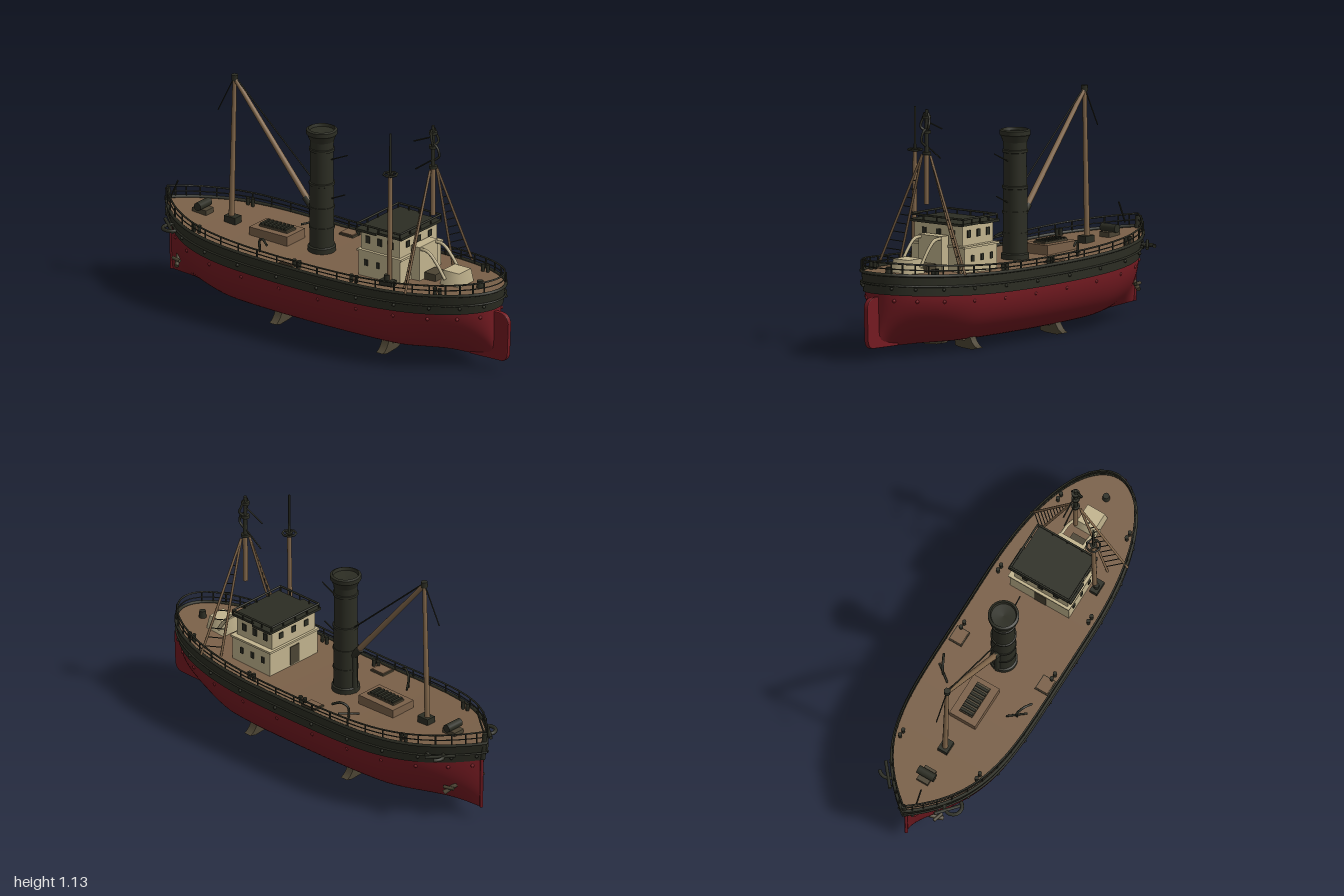
import * as THREE from 'three';

const mat = (name, color) => new THREE.MeshStandardMaterial({ name, color, side: THREE.DoubleSide });
const V = (x, y, z) => new THREE.Vector3(x, y, z);

export function createModel() {
  const ship = new THREE.Group();
  ship.name = 'steamship';
  const red = mat('hullRed', 0x741a21), dark = mat('ironBlack', 0x2c2d23), wood = mat('deckBrown', 0x7a6048);
  const cream = mat('houseCream', 0xc2b48e), olive = mat('rustOlive', 0x4c4433), spar = mat('sparBrown', 0x84694c);

  // ---- helpers ----
  const add = (name, geo, m, x = 0, y = 0, z = 0) => {
    const o = new THREE.Mesh(geo, m);
    o.name = name;
    o.position.set(x, y, z);
    ship.add(o);
    return o;
  };
  const box = (name, m, x0, x1, y0, y1, z0, z1) =>
    add(name, new THREE.BoxGeometry(x1 - x0, y1 - y0, z1 - z0), m, (x0 + x1) / 2, (y0 + y1) / 2, (z0 + z1) / 2);
  const rod = (name, m, a, b, r, r2 = r, sides = 8) => {
    const d = b.clone().sub(a), mid = a.clone().add(b).multiplyScalar(0.5);
    const o = add(name, new THREE.CylinderGeometry(r2, r, d.length(), sides), m, mid.x, mid.y, mid.z);
    o.quaternion.setFromUnitVectors(V(0, 1, 0), d.normalize());
    return o;
  };
  const tube = (name, m, pts, r, closed = false, n = 24) =>
    add(name, new THREE.TubeGeometry(new THREE.CatmullRomCurve3(pts, closed), n, r, 6, closed), m);
  const loft = (name, m, nu, nv, f) => {
    const pos = [], idx = [];
    for (let i = 0; i <= nu; i++) for (let j = 0; j <= nv; j++) {
      pos.push(...f(i / nu, j / nv));
      if (i < nu && j < nv) {
        const a = i * (nv + 1) + j, b = a + nv + 1;
        idx.push(a, a + 1, b, b, a + 1, b + 1);
      }
    }
    const g = new THREE.BufferGeometry();
    g.setAttribute('position', new THREE.Float32BufferAttribute(pos, 3));
    g.setIndex(idx);
    g.computeVertexNormals();
    return add(name, g, m);
  };

  // ---- hull lines ----
  const X0 = -0.995, X1 = 0.945;
  const half = x => {
    const s = THREE.MathUtils.clamp((x - X0) / 0.9, 0, 1), r = THREE.MathUtils.clamp((X1 - x) / 0.75, 0, 1);
    return 0.287 * (1 - (1 - s) ** 4) * Math.sqrt(Math.max(0, 1 - (1 - r) ** 2.4));
  };
  const sheer = x => 0.367 + 0.045 * x * x;
  const station = u => X0 + (X1 - X0) * (1 - Math.cos(Math.PI * u)) / 2;
  const squeeze = (x, a, b) => a + (b - a) * (x - X0) / (X1 - X0);

  loft('lowerHull', red, 64, 40, (u, v) => {
    const x = station(u), s = v * 2 - 1, t = s * s;
    const keel = 0.03 + 0.032 * x * x, top = sheer(x) - 0.09;
    const e = 0.42 + 0.5 * THREE.MathUtils.smoothstep(-x, 0.5, 1) + 0.9 * THREE.MathUtils.smoothstep(x, 0.45, 0.95);
    const w = half(x) * 0.967 * (1 - (1 - t) ** 2) ** e;
    return [squeeze(x, -0.965, 0.92), keel + (top - keel) * t, Math.sign(s) * w];
  });
  for (const side of [-1, 1]) {
    loft('upperHullBand', dark, 64, 4, (u, v) => {
      const x = station(u);
      return [squeeze(x, -0.972 - 0.023 * v, 0.93 + 0.015 * v), sheer(x) - 0.097 + 0.097 * v, side * half(x) * (0.985 + 0.015 * v)];
    });
    loft('bandUnderside', dark, 64, 1, (u, v) => {
      const x = station(u);
      return [squeeze(x, -0.96 - 0.012 * v, 0.915 + 0.015 * v), sheer(x) - 0.097, side * half(x) * (0.95 + 0.035 * v)];
    });
  }
  loft('deck', wood, 64, 2, (u, v) => {
    const x = station(u);
    return [x, sheer(x) - 0.006, half(x) * (v * 2 - 1)];
  });

  // ---- gunwale and railing ----
  const edge = (h, k = 1) => {
    const pts = [];
    for (const side of [1, -1]) for (let i = 0; i < 40; i++) {
      const x = station(side > 0 ? i / 40 : 1 - i / 40);
      pts.push(V(x * (k < 1 ? 0.992 : 1), sheer(x) + h(x), side * half(x) * k));
    }
    return pts;
  };
  const railTop = x => 0.038 + 0.02 * x * x;
  tube('gunwale', dark, edge(() => 0), 0.008, true, 200);
  tube('rubbingStrake', dark, edge(() => -0.05), 0.005, true, 200);
  tube('topRail', dark, edge(railTop, 0.98), 0.0045, true, 200);
  tube('middleRail', dark, edge(x => railTop(x) * 0.5, 0.98), 0.003, true, 200);
  for (let i = 1; i < 24; i++) for (const side of [-1, 1]) {
    const x = station(0.04 + 0.92 * i / 24), y = sheer(x), z = side * half(x) * 0.98;
    rod('railPost', dark, V(x, y, z), V(x, y + railTop(x), z), 0.004, 0.004, 6);
    // studs on the band and bosses on the lower hull
    if (i % 2) {
      add('bandStud', new THREE.SphereGeometry(0.008, 8, 6), dark, x, y - 0.065, side * half(x));
      add('hullBoss', new THREE.SphereGeometry(0.009, 8, 6), red, squeeze(x, -0.965, 0.92), y - 0.125, side * half(x) * 0.945);
    }
  }

  // ---- rudder, stem and stand feet ----
  const rs = new THREE.Shape();
  rs.moveTo(0.78, 0.055);
  rs.lineTo(0.96, 0.06);
  rs.quadraticCurveTo(0.99, 0.065, 0.992, 0.1);
  rs.lineTo(0.998, 0.25);
  rs.quadraticCurveTo(0.99, 0.29, 0.95, 0.292);
  rs.lineTo(0.78, 0.285);
  add('rudder', new THREE.ExtrudeGeometry(rs, { depth: 0.016, bevelSize: 0.004, bevelThickness: 0.004, bevelSegments: 2 }), red, 0, 0, -0.008);
  rod('stemBar', red, V(-0.962, 0.062, 0), V(-0.966, 0.32, 0), 0.008);
  rod('stemHead', dark, V(-0.972, 0.32, 0), V(-0.985, 0.46, 0), 0.012);
  const fs = new THREE.Shape();
  fs.moveTo(0.035, 0.05);
  fs.lineTo(0.04, 0.012);
  fs.lineTo(0.07, 0.005);
  fs.lineTo(0.14, 0);
  fs.lineTo(0.175, 0.008);
  fs.quadraticCurveTo(0.14, 0.02, 0.125, 0.07);
  fs.lineTo(0.105, 0.06);
  fs.quadraticCurveTo(0.1, 0.02, 0.065, 0.05);
  for (const x of [-0.245, 0.375]) for (const side of [-1, 1]) {
    const f = add('standFoot', new THREE.ExtrudeGeometry(fs, { depth: 0.04, bevelEnabled: false }), olive, x + 0.02 * side, 0, 0);
    f.rotation.y = -side * Math.PI / 2;
  }

  // ---- anchors and bow fittings ----
  for (const side of [-1, 1]) {
    const ring = add('bowAnchorRing', new THREE.TorusGeometry(0.042, 0.009, 8, 18, 4.6), dark, -0.83, 0.35, side * 0.175);
    ring.rotation.set(Math.PI / 2, 0, side * 0.5);
    rod('anchorShank', dark, V(-0.91, 0.36, side * 0.12), V(-0.8, 0.345, side * 0.21), 0.008);
    rod('hullFinStem', olive, V(-0.87, 0.175, side * 0.07), V(-0.84, 0.14, side * 0.125), 0.011);
    rod('hullFinBar', olive, V(-0.88, 0.165, side * 0.1), V(-0.83, 0.165, side * 0.115), 0.008);
    for (const x of [-0.66, -0.05, 0.28, 0.72]) {
      for (const dx of [-0.014, 0.014])
        rod('bollard', dark, V(x + dx, sheer(x) - 0.01, side * half(x) * 0.86), V(x + dx, sheer(x) + 0.03, side * half(x) * 0.86), 0.008, 0.01);
    }
    box('sideHatch', olive, -0.14, -0.06, 0.355, 0.37, side > 0 ? 0.2 : -0.27, side > 0 ? 0.27 : -0.2);
    box('sideHatchLid', wood, -0.135, -0.065, 0.365, 0.374, side > 0 ? 0.205 : -0.265, side > 0 ? 0.265 : -0.205);
    // davit frame beside the hold
    const z = side * 0.2;
    tube('davit', dark, [V(-0.3, 0.36, z), V(-0.3, 0.42, z * 1.02), V(-0.27, 0.44, z * 1.1), V(-0.23, 0.425, z * 1.2)], 0.006);
    rod('davitArm', dark, V(-0.33, 0.38, side * 0.16), V(-0.27, 0.39, side * 0.24), 0.005);
  }
  rod('bowPole', dark, V(-0.94, 0.43, 0.04), V(-0.895, 0.53, 0.04), 0.004);
  const drum = add('bowWinch', new THREE.CylinderGeometry(0.02, 0.02, 0.09, 14), dark, -0.78, 0.425, 0);
  drum.rotation.x = Math.PI / 2;
  box('winchBase', olive, -0.82, -0.74, 0.38, 0.41, -0.03, 0.03);
  box('mastWinch', dark, -0.64, -0.575, 0.37, 0.41, -0.025, 0.025);

  // ---- cargo hatch ----
  box('hatchCoaming', wood, -0.46, -0.24, 0.36, 0.41, -0.07, 0.07);
  box('hatchCover', olive, -0.43, -0.265, 0.41, 0.419, -0.035, 0.035);
  for (let i = 0; i < 7; i++) box('hatchSlat', dark, -0.425 + i * 0.0225, -0.412 + i * 0.0225, 0.419, 0.426, -0.033, 0.033);

  // ---- funnel ----
  const prof = [[0.066, 0.36], [0.066, 0.385], [0.058, 0.39], [0.057, 0.69], [0.061, 0.692], [0.061, 0.704], [0.055, 0.706], [0.054, 0.86],
    [0.06, 0.862], [0.06, 0.874], [0.055, 0.876], [0.056, 0.91], [0.068, 0.94], [0.073, 0.945], [0.073, 0.965], [0.062, 0.97], [0.058, 0.955], [0, 0.95]];
  // repeated profile points keep the steps crisp
  add('funnel', new THREE.LatheGeometry(prof.flatMap(p => [p, p]).map(p => new THREE.Vector2(...p)), 32), dark, -0.09, 0, 0);
  for (const y of [0.48, 0.58]) add('funnelBand', new THREE.CylinderGeometry(0.0605, 0.0605, 0.012, 32), dark, -0.09, y, 0);
  rod('funnelWire', dark, V(-0.035, 0.825, 0), V(0.06, 0.868, 0), 0.003);
  rod('funnelWire', dark, V(-0.035, 0.63, 0), V(0.045, 0.667, 0), 0.003);

  // ---- fore mast and boom ----
  rod('foreMast', spar, V(-0.615, 0.38, 0), V(-0.596, 1.1, 0), 0.014, 0.01, 12);
  rod('boom', spar, V(-0.595, 1.1, 0), V(-0.16, 0.58, 0), 0.011, 0.015, 12);
  rod('boomHeel', dark, V(-0.185, 0.605, 0), V(-0.135, 0.55, 0), 0.018);
  rod('boomPost', dark, V(-0.145, 0.36, 0), V(-0.145, 0.57, 0), 0.014);
  rod('mastCap', dark, V(-0.596, 1.09, 0), V(-0.595, 1.118, 0), 0.016);
  rod('boomStay', dark, V(-0.595, 1.11, 0), V(-0.14, 0.70, 0), 0.0035);
  rod('foreStay', dark, V(-0.6, 1.1, 0), V(-0.692, 0.92, 0), 0.003);

  // ---- wheelhouse ----
  box('lowerHouse', cream, 0.24, 0.48, 0.36, 0.49, -0.165, 0.155);
  box('houseLedge', cream, 0.232, 0.488, 0.485, 0.495, -0.172, 0.16);
  box('upperHouse', cream, 0.245, 0.47, 0.49, 0.592, -0.145, 0.145);
  box('houseRoof', dark, 0.232, 0.35, 0.588, 0.6, -0.172, 0.172);
  box('houseRoof', dark, 0.35, 0.488, 0.588, 0.6, -0.155, 0.155);
  for (const z of [-0.16, 0.16]) rod('roofRail', dark, V(0.235, 0.622, z), V(0.482, 0.622, z), 0.005);
  for (const x of [0.235, 0.482]) rod('roofRail', dark, V(x, 0.622, -0.16), V(x, 0.622, 0.16), 0.005);
  for (let i = 0; i < 5; i++) {
    const x = 0.235 + i * 0.0617, z = -0.16 + i * 0.08;
    for (const s of [-0.16, 0.16]) rod('roofRailPost', dark, V(x, 0.595, s), V(x, 0.622, s), 0.004);
    for (const s of [0.235, 0.482]) rod('roofRailPost', dark, V(s, 0.595, z), V(s, 0.622, z), 0.004);
  }
  // windows and doors
  for (let i = 0; i < 3; i++) {
    const x = 0.275 + i * 0.068, z = -0.1 + i * 0.085;
    for (const s of [-1, 1]) {
      box('sideWindow', dark, x, x + 0.024, 0.53, 0.565, s * 0.147 - 0.003, s * 0.147 + 0.003);
      const zl = s > 0 ? 0.157 : -0.167;
      box('lowerWindow', dark, x, x + 0.018, 0.42, 0.45, zl - 0.003, zl + 0.003);
    }
    for (const wx of [0.243, 0.472]) box('endWindow', dark, wx - 0.003, wx + 0.003, 0.535, 0.565, z, z + 0.026);
  }
  box('houseDoor', olive, 0.236, 0.241, 0.37, 0.465, -0.03, 0.03);
  rod('sideVent', dark, V(0.43, 0.36, 0.19), V(0.43, 0.42, 0.19), 0.014);
  box('sideLocker', dark, 0.4, 0.47, 0.36, 0.395, 0.17, 0.21);

  // ---- after deck ----
  box('aftCompanion', cream, 0.48, 0.53, 0.36, 0.54, -0.07, 0.07);
  box('mastBase', olive, 0.535, 0.6, 0.37, 0.41, -0.04, 0.04);
  const sky = add('aftSkylight', new THREE.CylinderGeometry(0.066, 0.08, 0.07, 4), cream, 0.695, 0.415, 0);
  sky.geometry.rotateY(Math.PI / 4);
  for (const side of [-1, 1])
    tube('curvedHandrail', cream, [V(0.5, 0.53, side * 0.06), V(0.57, 0.525, side * 0.06), V(0.62, 0.48, side * 0.06), V(0.67, 0.41, side * 0.06)], 0.008);
  rod('sternCapstan', dark, V(0.83, 0.38, 0), V(0.83, 0.425, 0), 0.02, 0.015, 12);

  // ---- side mast with lookout ----
  rod('sideMast', spar, V(0.435, 0.36, 0.178), V(0.435, 0.915, 0.17), 0.013, 0.01, 12);
  rod('sideTopmast', dark, V(0.435, 0.91, 0.17), V(0.435, 1.12, 0.17), 0.006, 0.005);
  add('lookoutDisc', new THREE.CylinderGeometry(0.016, 0.012, 0.014, 12), dark, 0.435, 0.915, 0.17);
  const hoop = add('lookoutHoop', new THREE.TorusGeometry(0.033, 0.005, 6, 8), dark, 0.435, 0.917, 0.17);
  hoop.rotation.x = Math.PI / 2;
  rod('lookoutBar', dark, V(0.4, 0.917, 0.17), V(0.47, 0.917, 0.17), 0.004);
  rod('lookoutBar', dark, V(0.435, 0.917, 0.135), V(0.435, 0.917, 0.205), 0.004);

  // ---- aft mast on stays ----
  rod('aftMast', spar, V(0.555, 0.69, 0), V(0.556, 0.92, 0), 0.012, 0.012, 12);
  rod('aftTopmast', dark, V(0.556, 0.91, 0), V(0.556, 1.135, 0), 0.011, 0.008, 10);
  for (const y of [0.93, 1.03, 1.1]) add('mastCollar', new THREE.CylinderGeometry(0.02, 0.02, 0.014, 12), dark, 0.556, y, 0);
  for (const side of [-1, 1]) {
    tube('mastLyre', dark, [V(0.556, 1.03, 0), V(0.57, 1.055, side * 0.024), V(0.56, 1.09, side * 0.02), V(0.556, 1.12, side * 0.01)], 0.006);
    const top = V(0.558, 0.92, side * 0.025), outer = V(0.59, 0.385, side * 0.262), inner = V(0.53, 0.37, side * 0.19);
    rod('outerStay', spar, outer, top, 0.006);
    rod('innerStay', spar, inner, top, 0.006);
    for (let i = 1; i < 11; i++) rod('stayRung', dark, outer.clone().lerp(top, i / 13), inner.clone().lerp(top, i / 13), 0.0025, 0.0025, 5);
  }
  tube('mastHorn', dark, [V(0.556, 1.045, 0), V(0.58, 1.03, 0), V(0.592, 0.99, 0), V(0.565, 0.965, 0)], 0.006);
  rod('mastArm', dark, V(0.555, 1.08, 0), V(0.445, 1.032, 0), 0.0035);
  rod('mastArm', dark, V(0.555, 0.965, 0), V(0.455, 0.895, 0), 0.0035);

  return ship;
}
